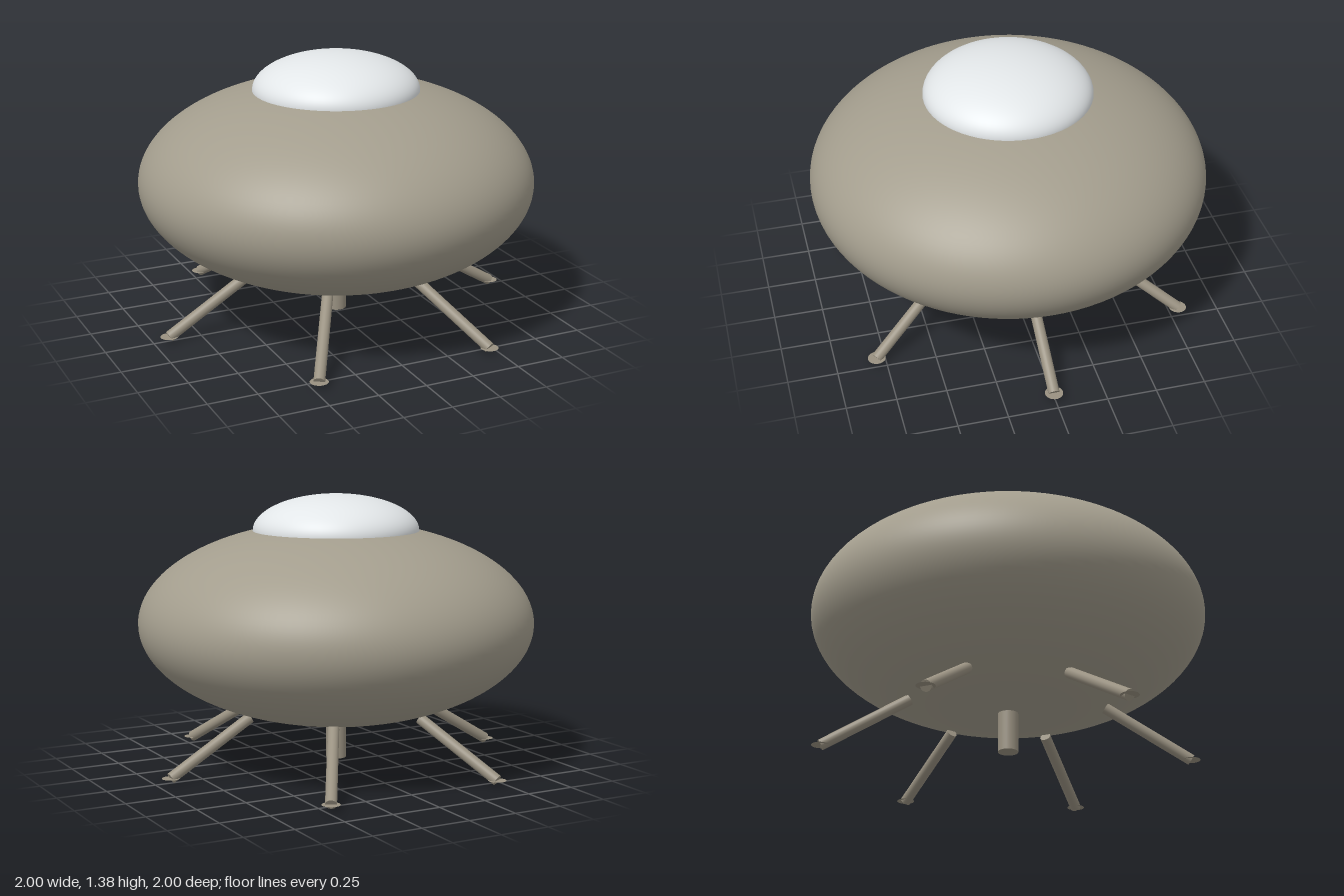
import * as THREE from 'three';

const hullMat = new THREE.MeshStandardMaterial({ color: 0xa39d8d });
const domeMat = new THREE.MeshStandardMaterial({ color: 0xe2e6e8, side: THREE.DoubleSide });
const legMat = new THREE.MeshStandardMaterial({ color: 0x999181 });
const footMat = new THREE.MeshStandardMaterial({ color: 0x999181, side: THREE.DoubleSide });

function add(parent, name, geometry, material) {
  const mesh = new THREE.Mesh(geometry, material);
  mesh.name = name;
  parent.add(mesh);
  return mesh;
}

// Round strut between two points
function strut(parent, name, a, b, radius) {
  const dir = b.clone().sub(a);
  const mesh = add(parent, name, new THREE.CylinderGeometry(radius, radius, dir.length(), 24), legMat);
  mesh.position.copy(a).add(b).multiplyScalar(0.5);
  mesh.quaternion.setFromUnitVectors(new THREE.Vector3(0, 1, 0), dir.normalize());
  return mesh;
}

export function createModel() {
  const model = new THREE.Group();
  model.name = 'flyingSaucer';

  // Flattened ellipsoid hull
  const hull = add(model, 'hull', new THREE.SphereGeometry(1, 96, 64), hullMat);
  hull.scale.y = 0.507;
  hull.position.y = 0.738;

  // Half-ellipsoid cockpit dome
  const dome = add(model, 'dome',
    new THREE.SphereGeometry(0.42, 64, 24, 0, Math.PI * 2, 0, Math.PI / 2), domeMat);
  dome.scale.y = 0.184 / 0.42;
  dome.position.y = 1.2;

  // Vertical column under the belly
  strut(model, 'centreColumn', new THREE.Vector3(0, 0.03, 0), new THREE.Vector3(0, 0.28, 0), 0.051);

  // Six splayed legs, each tip passing through a thin foot pad
  for (let i = 0; i < 6; i++) {
    const leg = new THREE.Group();
    leg.name = 'landingLeg' + (i + 1);
    leg.rotation.y = (i * Math.PI) / 3;
    strut(leg, 'legStrut', new THREE.Vector3(0.918, 0.027, 0), new THREE.Vector3(0.49, 0.285, 0), 0.028);
    const foot = add(leg, 'footPad', new THREE.CircleGeometry(0.045, 32), footMat);
    foot.rotation.x = -Math.PI / 2;
    foot.position.set(0.918, 0.027, 0);
    model.add(leg);
  }
  return model;
}
